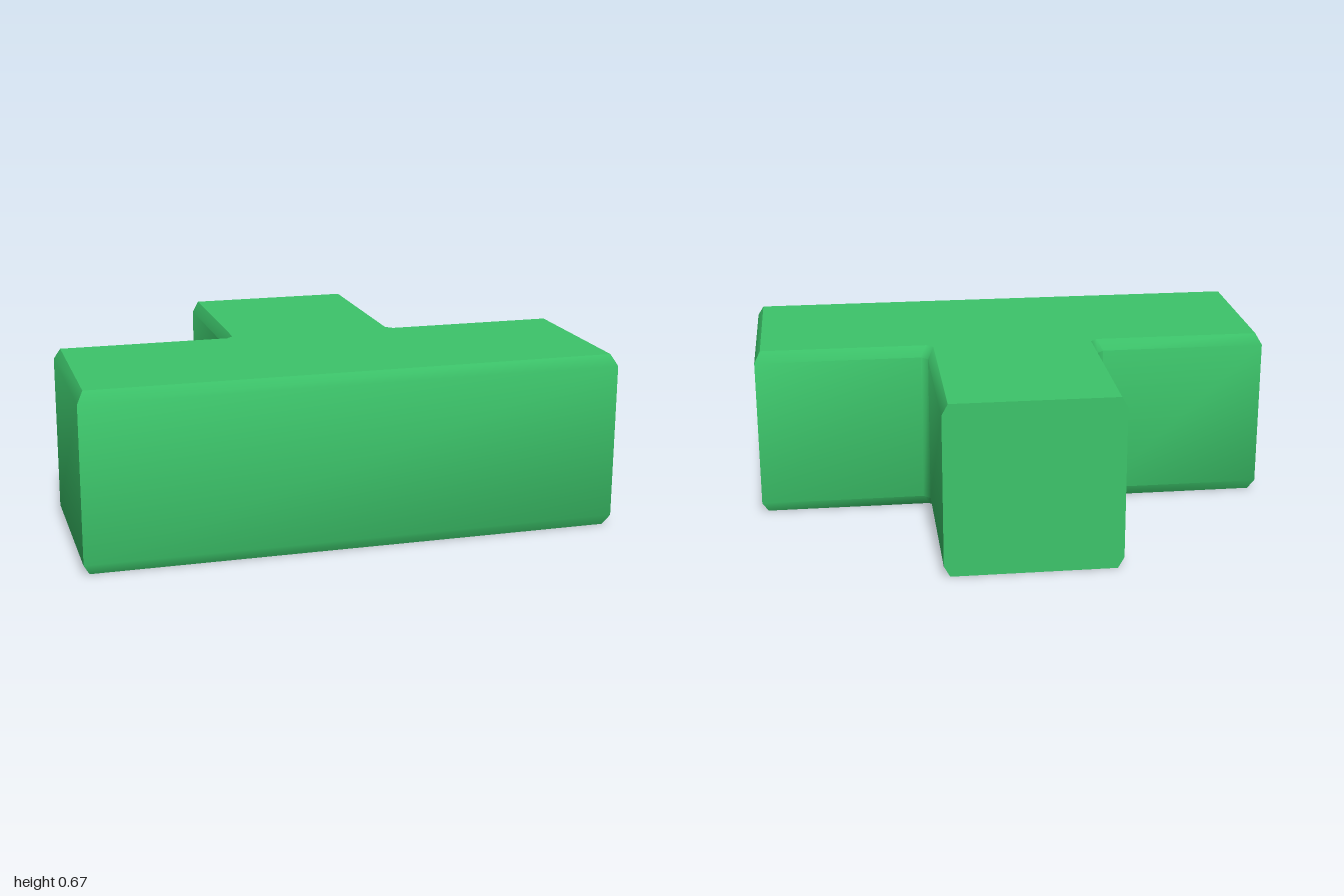
import * as THREE from 'three';
import { toCreasedNormals } from 'three/addons/utils/BufferGeometryUtils.js';

const HEIGHT = 0.667, HALF_STEM = 0.333, DEPTH = 0.667;
const BEVEL_IN = 0.023, BEVEL_UP = 0.042; // bevel is taller than it is wide
const CORNER = 0.026; // small chamfer in the two inner corners

// T outline as (x, -z), counter-clockwise from above; the stem's end stays flush
function outline(inset) {
  const right = [
    [1 - inset, inset - DEPTH],
    [1 - inset, -inset],
    [HALF_STEM + CORNER - inset, -inset],
    [HALF_STEM - inset, CORNER - inset],
    [HALF_STEM - inset, DEPTH],
  ];
  const left = right.map(([x, y]) => [-x, y]).reverse();
  return [...right, ...left].map(([x, y]) => new THREE.Vector2(x, y));
}

function blockGeometry() {
  // Horizontal rings from bottom to top: [inset, height]
  const rings = [
    [BEVEL_IN, 0],
    [0, BEVEL_UP],
    [0, HEIGHT - BEVEL_UP],
    [BEVEL_IN, HEIGHT],
  ];
  const positions = [], indices = [];
  const n = outline(0).length;
  for (const [inset, y] of rings) {
    for (const p of outline(inset)) positions.push(p.x, y, -p.y);
  }

  // Walls and bevels
  for (let r = 0; r < rings.length - 1; r++) {
    for (let i = 0; i < n; i++) {
      const a = r * n + i, b = r * n + (i + 1) % n;
      indices.push(a, b, b + n, a, b + n, a + n);
    }
  }

  // Flat top and bottom
  const top = (rings.length - 1) * n;
  for (const [a, b, c] of THREE.ShapeUtils.triangulateShape(outline(BEVEL_IN), [])) {
    indices.push(a + top, b + top, c + top, a, c, b);
  }

  const geometry = new THREE.BufferGeometry();
  geometry.setAttribute('position', new THREE.Float32BufferAttribute(positions, 3));
  geometry.setIndex(indices);
  return toCreasedNormals(geometry, THREE.MathUtils.degToRad(50));
}

export function createModel() {
  const group = new THREE.Group();
  group.name = 'tShapedBlock';
  const block = new THREE.Mesh(
    blockGeometry(),
    new THREE.MeshStandardMaterial({ color: 0x3cc46a })
  );
  block.name = 'block';
  group.add(block);
  return group;
}
